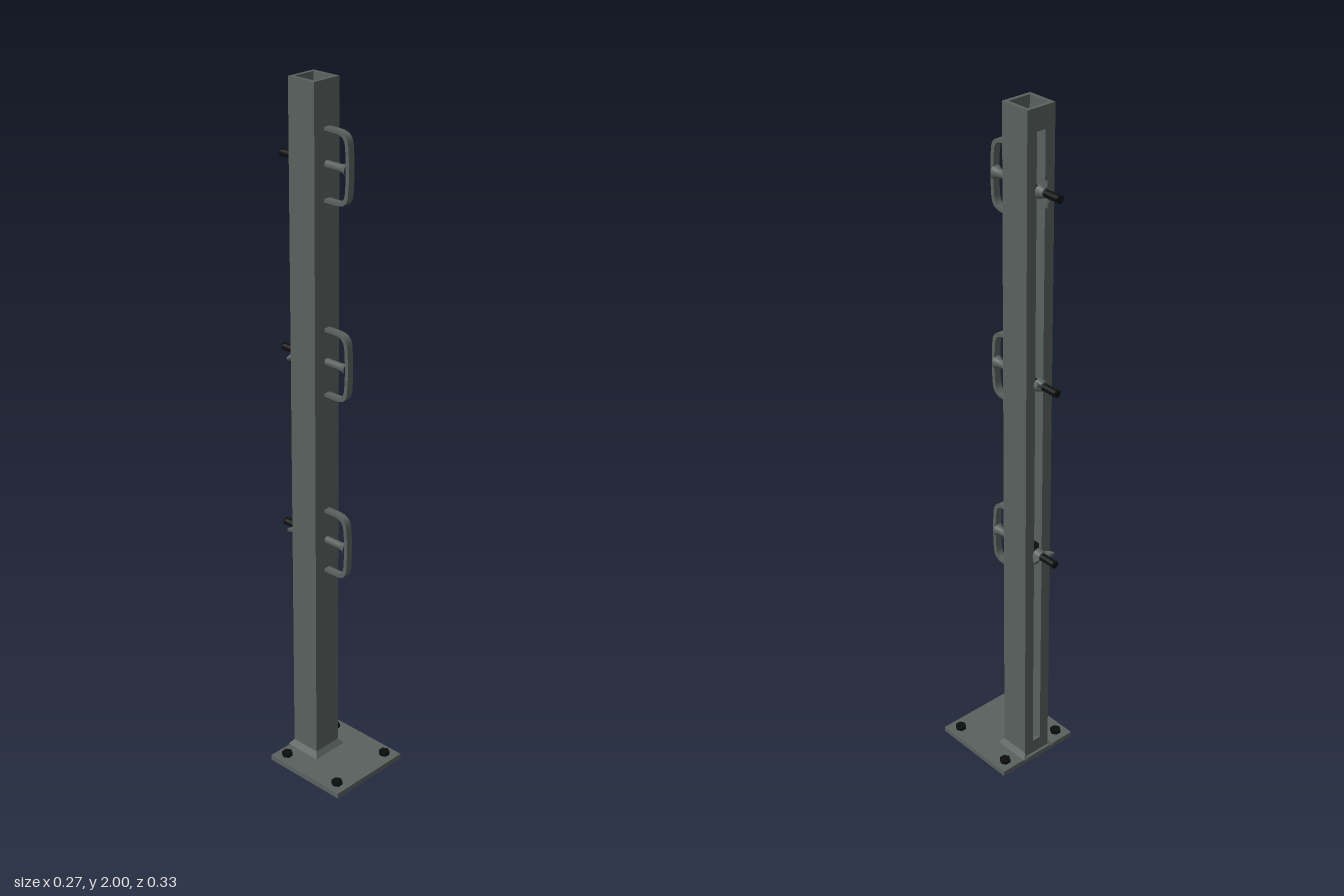
import * as THREE from 'three';

const steel = new THREE.MeshStandardMaterial({ color: 0x59615e });
steel.name = 'grey steel';
const black = new THREE.MeshStandardMaterial({ color: 0x0c0d0d });
black.name = 'black hardware';

const POST_Z = -0.05;   // centre line of the post
const HALF = 0.045;     // half width of the post
const INNER = 0.034;    // half width of its hollow
const SLOT = 0.014;     // half width of the rear slot

function add(parent, name, geometry, material, x = 0, y = 0, z = 0) {
  const mesh = new THREE.Mesh(geometry, material);
  mesh.name = name;
  mesh.position.set(x, y, z);
  parent.add(mesh);
  return mesh;
}

const poly = (points) => points.map(([x, y]) => new THREE.Vector2(x, y));
const square = (h) => poly([[-h, -h], [h, -h], [h, h], [-h, h]]);

// Extrude a plan (x, -z) upwards
function upright(shape, height) {
  return new THREE.ExtrudeGeometry(shape, { depth: height, bevelEnabled: false }).rotateX(-Math.PI / 2);
}

// Square tube, slotted along the back between two closed ends
function buildPost() {
  const post = new THREE.Group();
  post.name = 'post';
  const closed = new THREE.Shape(square(HALF));
  closed.holes.push(new THREE.Path(square(INNER).reverse()));
  const open = new THREE.Shape(poly([
    [SLOT, HALF], [SLOT, INNER], [INNER, INNER], [INNER, -INNER], [-INNER, -INNER], [-INNER, INNER],
    [-SLOT, INNER], [-SLOT, HALF], [-HALF, HALF], [-HALF, -HALF], [HALF, -HALF], [HALF, HALF],
  ]));
  const low = 0.06, high = 1.94;
  add(post, 'lowerPost', upright(closed, low - 0.002), steel, 0, 0.002, POST_Z);
  add(post, 'slottedPost', upright(open, high - low), steel, 0, low, POST_Z);
  add(post, 'upperPost', upright(closed, 2 - high), steel, 0, high, POST_Z);
  return post;
}

// Foot plate with weld collar and four hex bolts
function buildBase() {
  const base = new THREE.Group();
  base.name = 'base';
  const plate = new THREE.Shape(poly([[-0.133, -0.165], [0.133, -0.165], [0.133, 0.103], [-0.133, 0.103]]));
  const hole = square(INNER).map((p) => p.add(new THREE.Vector2(0, -POST_Z)));
  plate.holes.push(new THREE.Path(hole.reverse()));
  add(base, 'footPlate', upright(plate, 0.016), steel);

  // Sloping weld bead around the front and sides of the post
  const bead = new THREE.Shape(poly([[0, 0], [0.012, 0], [0, 0.016]]));
  for (let i = 0; i < 3; i++) {
    const holder = new THREE.Group();
    holder.name = 'weld';
    holder.position.set(0, 0.016, POST_Z);
    holder.rotation.y = (i - 1) * Math.PI / 2;
    const g = new THREE.ExtrudeGeometry(bead, { depth: 0.114, bevelEnabled: false });
    g.rotateY(-Math.PI / 2).translate(0.057, 0, HALF);
    // Mitre the bead ends in towards the post
    const p = g.attributes.position;
    for (let k = 0; k < p.count; k++) {
      const limit = p.getZ(k);
      if (p.getY(k) > 0.01) p.setX(k, Math.sign(p.getX(k)) * limit);
    }
    g.computeVertexNormals();
    add(holder, 'weldBead', g, steel);
    base.add(holder);
  }

  for (const x of [-0.1, 0.1]) {
    for (const z of [-0.07, 0.13]) {
      add(base, 'boltHead', new THREE.CylinderGeometry(0.016, 0.016, 0.012, 6).rotateY(Math.PI / 6), black, x, 0.021, z);
      add(base, 'boltShank', new THREE.CylinderGeometry(0.01, 0.01, 0.016, 12), black, x, 0.0075, z);
    }
  }
  return base;
}

// C-shaped bar bent from flat stock, seen from the side (z, y)
function hookBar() {
  const shape = new THREE.Shape();
  const trace = (path, front, top) => {
    path.lineTo(0.03, top);
    path.bezierCurveTo(front - 0.012, top, front - 0.003, top - 0.012, front - 0.002, 0.05);
    path.quadraticCurveTo(front + 0.002, 0, front - 0.002, -0.05);
    path.bezierCurveTo(front - 0.003, -top + 0.012, front - 0.012, -top, 0.03, -top);
    path.lineTo(-0.006, -top);
  };
  shape.moveTo(-0.006, 0.097);
  trace(shape, 0.08, 0.097);
  // Return along the inside of the bend
  shape.lineTo(-0.006, -0.088);
  shape.lineTo(0.028, -0.088);
  shape.bezierCurveTo(0.058, -0.088, 0.066, -0.078, 0.067, -0.048);
  shape.quadraticCurveTo(0.071, 0, 0.067, 0.048);
  shape.bezierCurveTo(0.066, 0.078, 0.058, 0.088, 0.028, 0.088);
  shape.lineTo(-0.006, 0.088);
  return new THREE.ExtrudeGeometry(shape, { depth: 0.02, bevelEnabled: false, curveSegments: 10 })
    .translate(0, 0, -0.01).rotateY(-Math.PI / 2);
}

function buildHook(y, turn) {
  const hook = new THREE.Group();
  hook.name = 'hook';
  hook.position.y = y;
  add(hook, 'hookBar', hookBar(), steel);

  // Flared stud joining the bar to the post
  const stud = poly([[0.011, -0.008], [0.011, 0.045], [0.013, 0.058], [0.02, 0.071]]);
  add(hook, 'hookStud', new THREE.LatheGeometry(stud, 16).rotateX(Math.PI / 2).scale(0.9, 1, 1), steel);

  // Threaded rod through the slot
  const thread = [];
  for (let i = 0; i <= 10; i++) thread.push([i % 2 ? 0.009 : 0.011, 0.105 + i * 0.006]);
  const rod = poly([[0.009, 0], ...thread, [0, 0.165]]);
  add(hook, 'threadedRod', new THREE.LatheGeometry(rod, 14).rotateX(-Math.PI / 2), black);

  // Wing nut, turned about the rod
  const nut = new THREE.Group();
  nut.name = 'wingNut';
  nut.position.z = -0.095;
  nut.rotation.z = turn;
  add(nut, 'nutBody', new THREE.CylinderGeometry(0.013, 0.02, 0.018, 16).rotateX(-Math.PI / 2), steel, 0, 0, -0.009);
  const wing = new THREE.Shape(poly([[0.01, 0.002], [0.02, 0.004], [0.03, 0.013], [0.037, 0.028], [0.022, 0.028], [0.01, 0.016]]));
  for (const a of [0, Math.PI]) {
    const g = new THREE.ExtrudeGeometry(wing, { depth: 0.008, bevelEnabled: false });
    g.translate(0, 0, -0.004).rotateX(-Math.PI / 2).rotateZ(a);
    add(nut, 'nutWing', g, steel);
  }
  hook.add(nut);
  return hook;
}

export function createModel() {
  const model = new THREE.Group();
  model.name = 'hookPost';
  model.add(buildPost(), buildBase());
  const hooks = [[0.718, 0], [1.25, 0.5], [1.785, Math.PI / 2]];
  for (const [y, turn] of hooks) model.add(buildHook(y, turn));
  // Dark guide plate inside the tube
  add(model, 'guidePlate', new THREE.BoxGeometry(INNER * 2, 0.008, INNER * 2), black, 0, 0.718, POST_Z);
  return model;
}
